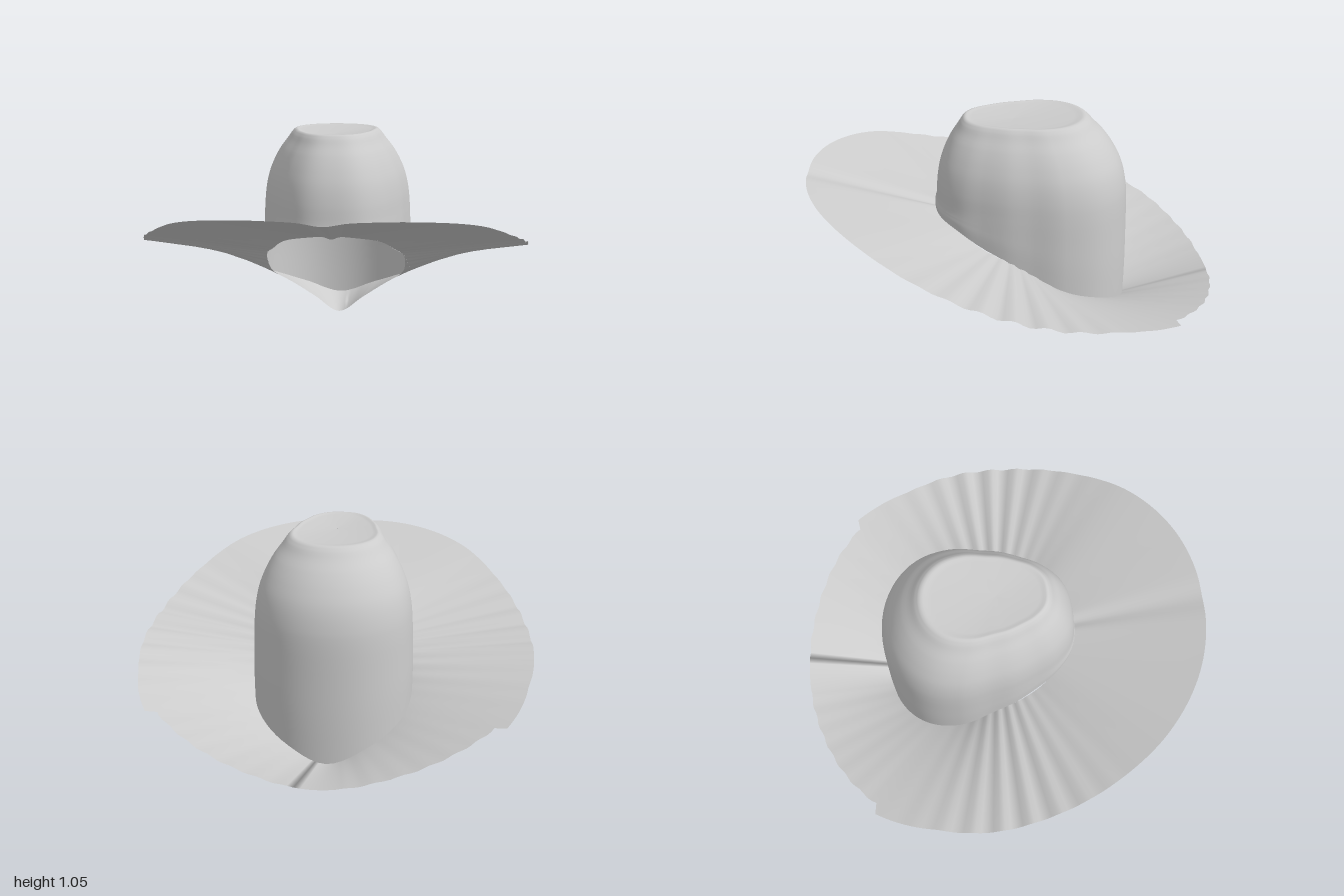
import * as THREE from 'three';
import { ParametricGeometry } from 'three/addons/geometries/ParametricGeometry.js';

// Smooth reading of a short table at f in 0..1 (ends are mirrored)
function read(table, f) {
  const n = table.length - 1;
  const s = Math.min(Math.max(f, 0), 1) * n;
  const i = Math.min(Math.floor(s), n - 1);
  const t = s - i;
  const at = (k) => table[k < 0 ? -k : k > n ? 2 * n - k : k];
  const [a, b, c, d] = [at(i - 1), at(i), at(i + 1), at(i + 2)];
  return b + 0.5 * t * (c - a + t * (2 * a - 5 * b + 4 * c - d + t * (3 * (b - c) + d - a)));
}

// Rings sampled every 20 degrees from the front (0) round to the back (180)
const INNER_R = [0.39, 0.385, 0.36, 0.345, 0.345, 0.36, 0.395, 0.41, 0.39, 0.38];
const INNER_Y = [0.6, 0.585, 0.55, 0.49, 0.44, 0.37, 0.275, 0.19, 0.09, 0];
const OUTER_R = [1, 0.995, 0.975, 0.95, 0.95, 0.98, 1.005, 1.01, 1, 1];
const OUTER_Y = [0.79, 0.785, 0.735, 0.63, 0.53, 0.455, 0.39, 0.32, 0.245, 0.2];
const CROWN_R = [0.39, 0.39, 0.365, 0.34, 0.345, 0.37, 0.445, 0.52, 0.56, 0.57];

// Crown rows from hem to top: roundness, shrink towards the centre, height, hem influence
const ROW_K = [1, 1, 0.98, 0.95, 0.9, 0.8, 0.64, 0.45, 0.24, 0.1, 0, 0, 0, 0];
const ROW_S = [1, 1, 1, 1, 1, 1, 1, 1, 1, 1, 0.99, 0.85, 0.45, 0.001];
const ROW_Y = [0.45, 0.52, 0.58, 0.65, 0.74, 0.82, 0.89, 0.95, 1.0, 1.035, 1.05, 1.045, 1.037, 1.032];
const ROW_HEM = [1, 0.66, 0.33, 0, 0, 0, 0, 0, 0, 0, 0, 0, 0, 0];

// Degrees from the front, the same on both sides
const fromFront = (u) => 180 * (1 - Math.abs(1 - 2 * u));

function outerRadius(deg) {
  // Stepped corner behind each side, and a slightly wavy rear edge
  const corner = deg < 130.7 ? 0.045 * Math.max(0, 1 - (130.7 - deg) / 18) : 0;
  const wave = deg > 130.7 && deg < 175 ? 0.004 * Math.sin(deg * 0.9) : 0;
  return read(OUTER_R, deg / 180) + corner + wave;
}

// Brim height at an angle; t runs from the inner edge (0) to the outer edge (1)
function brimHeight(deg, t) {
  const f = deg / 180;
  const y = read(INNER_Y, f) * (1 - t) + read(OUTER_Y, f) * t;
  const pleats = 0.009 * Math.exp(-(((deg - 88) / 22) ** 2)) * Math.sin(deg * 0.75);
  const frontCrease = 0.015 * Math.exp(-((deg / 4) ** 2));
  return y + pleats * (0.4 + 0.6 * t) - frontCrease;
}

function brimPoint(u, v, target) {
  const deg = fromFront(u);
  const t = 1 - v;
  const r = read(INNER_R, deg / 180) * (1 - t) + outerRadius(deg) * t;
  const a = u * Math.PI * 2;
  target.set(r * Math.sin(a), Math.max(0, brimHeight(deg, t)), r * Math.cos(a));
}

function crownPoint(u, v, target) {
  const deg = fromFront(u);
  const f = deg / 180;
  const r = read(CROWN_R, f);
  const inner = read(INNER_R, f);
  // The hem rests on the brim
  const hem = brimHeight(deg, Math.max(0, (r - inner) / (outerRadius(deg) - inner)));
  const k = read(ROW_K, v);
  const s = read(ROW_S, v) * r;
  const a = u * Math.PI * 2;
  target.set(
    s * Math.sin(a) * (0.53 + 0.47 * k),
    read(ROW_Y, v) + read(ROW_HEM, v) * (hem - 0.45),
    s * Math.cos(a) * (0.6 + 0.4 * k)
  );
}

export function createModel() {
  const hat = new THREE.Group();
  hat.name = 'sunHat';

  const felt = new THREE.MeshStandardMaterial({ color: 0xcccccc, side: THREE.DoubleSide });
  felt.name = 'paleGreyFelt';

  // Wide tilted brim, folded into a trough at the back
  const brim = new THREE.Mesh(new ParametricGeometry(brimPoint, 216, 8), felt);
  brim.name = 'brim';

  // Egg-shaped crown with a shallow dent on top
  const crown = new THREE.Mesh(new ParametricGeometry(crownPoint, 96, 39), felt);
  crown.name = 'crown';

  hat.add(brim, crown);
  return hat;
}
